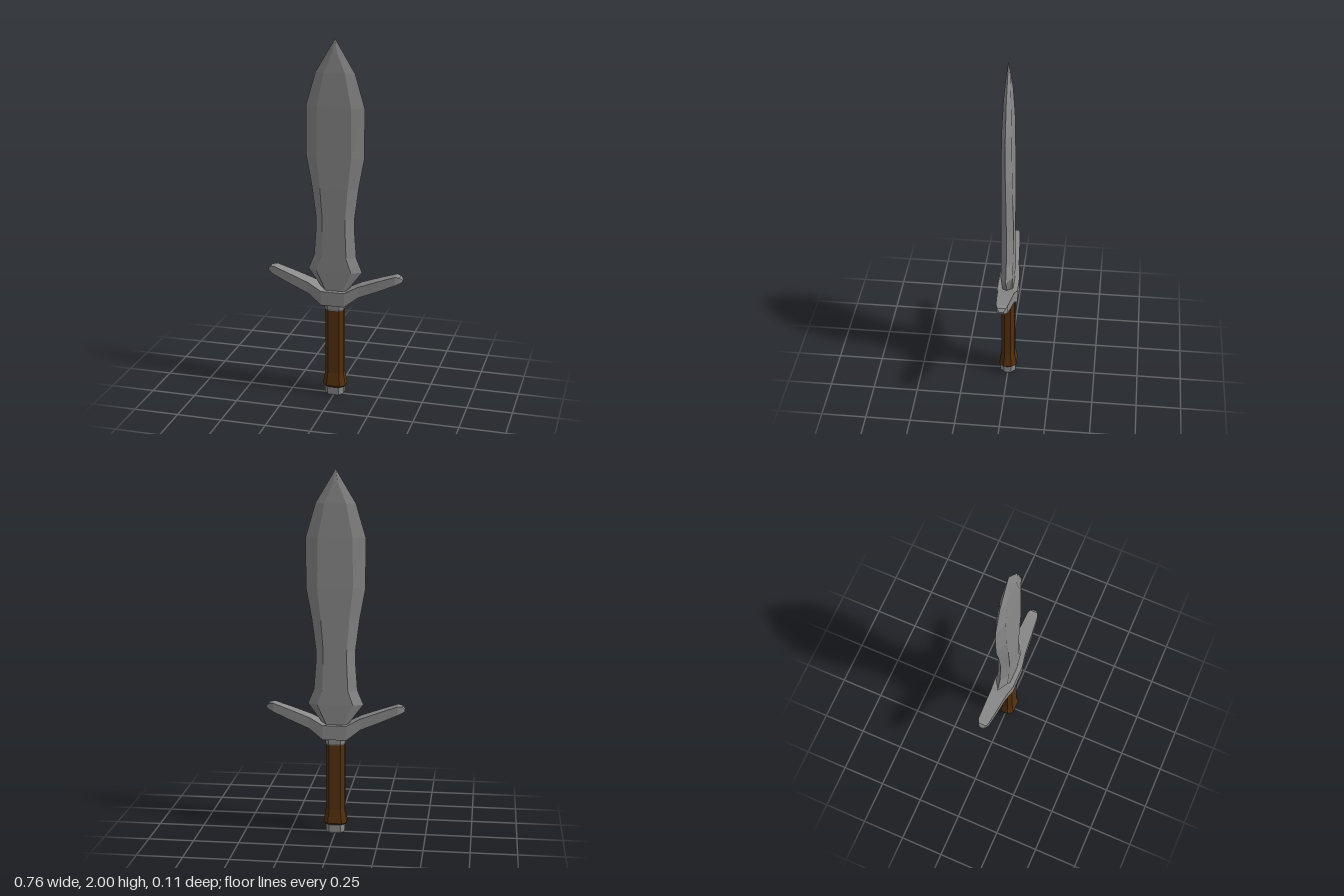
import * as THREE from 'three';

const steel = new THREE.MeshStandardMaterial({ color: 0x8a8a8a });
steel.name = 'steel';
const leather = new THREE.MeshStandardMaterial({ color: 0x54300f });
leather.name = 'brown leather';

// Skin a list of equal-sized rings, closing both ends; flat-faced.
function loft(name, rings, material) {
  const pos = [];
  const tri = (a, b, c) => pos.push(...a, ...b, ...c);
  const n = rings[0].length;
  for (let i = 0; i < rings.length - 1; i++) {
    for (let j = 0; j < n; j++) {
      const k = (j + 1) % n;
      const a = rings[i][j], b = rings[i][k], c = rings[i + 1][k], d = rings[i + 1][j];
      tri(a, b, c);
      tri(a, c, d);
    }
  }
  const first = rings[0], last = rings[rings.length - 1];
  for (let j = 1; j < n - 1; j++) {
    tri(first[0], first[j + 1], first[j]);
    tri(last[0], last[j], last[j + 1]);
  }
  const geometry = new THREE.BufferGeometry();
  geometry.setAttribute('position', new THREE.Float32BufferAttribute(pos, 3));
  geometry.computeVertexNormals();
  const mesh = new THREE.Mesh(geometry, material);
  mesh.name = name;
  return mesh;
}

// Six-sided blade section: sharp edges at +-w, flats of half width f, half thickness t.
const bladeRing = ([y, w, f, t]) => [
  [w, y, 0], [f, y, -t], [-f, y, -t], [-w, y, 0], [-f, y, t], [f, y, t],
];

// Rectangular guard section at x.
const guardRing = ([x, top, bottom, z]) => [
  [x, top, z], [x, bottom, z], [x, bottom, -z], [x, top, -z],
];

// Eight-sided handle section with half width w and half depth d.
const handleRing = ([y, w, d]) => [
  [w, y, d * 0.45], [w, y, -d * 0.45], [w * 0.6, y, -d], [-w * 0.6, y, -d],
  [-w, y, -d * 0.45], [-w, y, d * 0.45], [-w * 0.6, y, d], [w * 0.6, y, d],
];

export function createModel() {
  const sword = new THREE.Group();
  sword.name = 'sword';

  // Leaf-shaped blade
  const blade = [
    [0.59, 0.05, 0.035, 0.03],
    [0.73, 0.152, 0.098, 0.033],
    [0.81, 0.119, 0.07, 0.033],
    [0.96, 0.108, 0.064, 0.033],
    [1.03, 0.108, 0.064, 0.033],
    [1.2, 0.13, 0.077, 0.032],
    [1.37, 0.161, 0.096, 0.03],
    [1.64, 0.161, 0.093, 0.026],
    [1.82, 0.108, 0.058, 0.019],
    [1.93, 0.042, 0.012, 0.01],
    [2.0, 0.0005, 0.0002, 0.0005],
  ];
  sword.add(loft('blade', blade.map(bladeRing), steel));

  // Upswept guard, mirrored about the middle
  const arm = [
    [0.065, 0.62, 0.54, 0.057],
    [0.14, 0.66, 0.598, 0.046],
    [0.25, 0.7, 0.643, 0.039],
    [0.34, 0.731, 0.682, 0.032],
    [0.365, 0.728, 0.693, 0.023],
    [0.38, 0.712, 0.702, 0.012],
  ];
  const mirrored = arm.map(([x, ...rest]) => [-x, ...rest]).reverse();
  sword.add(loft('guard', [...mirrored, ...arm].map(guardRing), steel));

  // Collar between guard and grip
  sword.add(loft('collar', [
    [0.505, 0.05, 0.038], [0.515, 0.055, 0.043], [0.545, 0.055, 0.043],
  ].map(handleRing), steel));

  // Grip with a flared foot
  sword.add(loft('grip', [
    [0.05, 0.055, 0.043], [0.06, 0.065, 0.05], [0.135, 0.052, 0.038], [0.51, 0.052, 0.036],
  ].map(handleRing), leather));

  // Pommel cap
  sword.add(loft('pommel', [
    [0, 0.046, 0.036], [0.012, 0.053, 0.043], [0.052, 0.053, 0.043],
  ].map(handleRing), steel));

  return sword;
}
